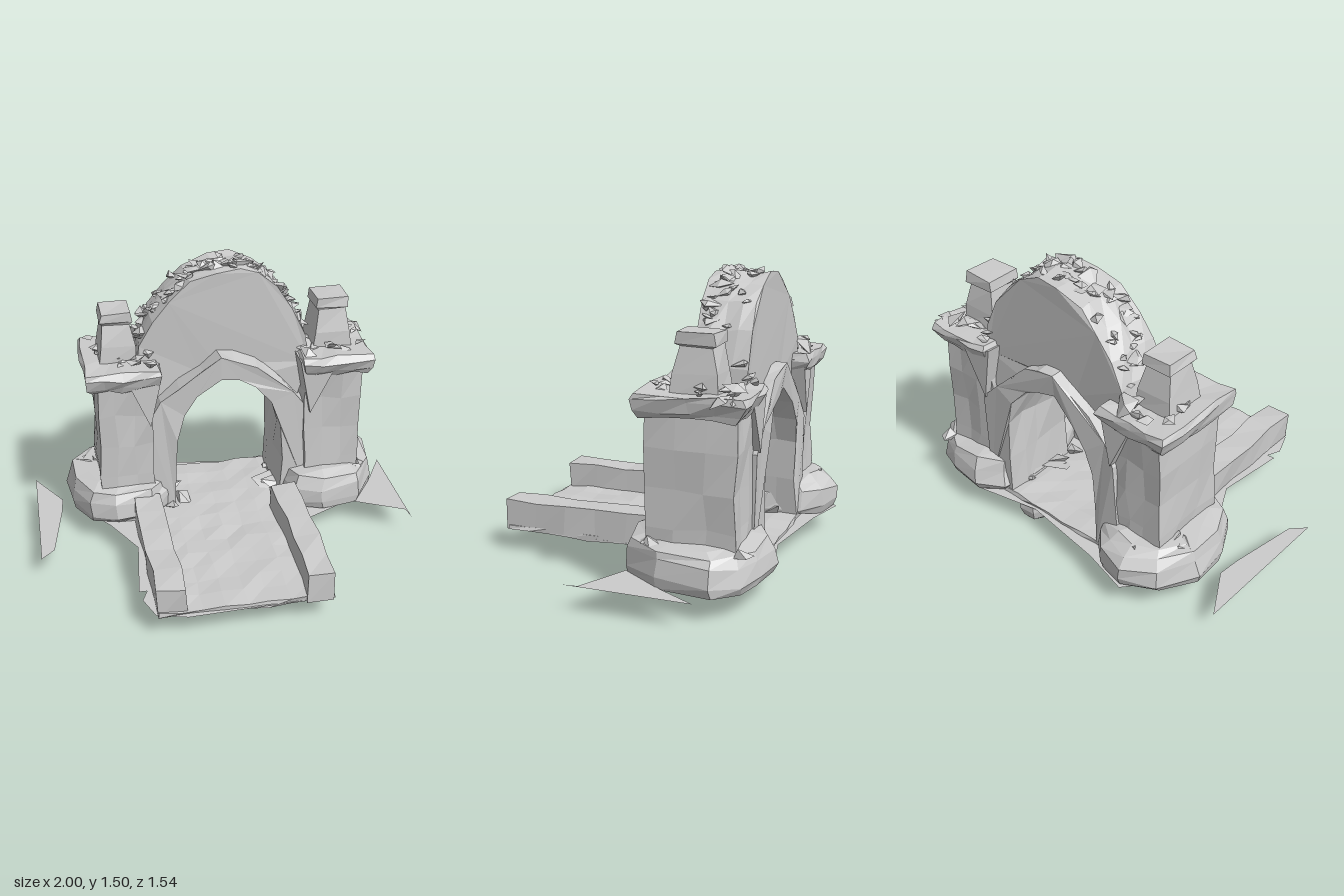
import * as THREE from 'three';

const stone = new THREE.MeshStandardMaterial({ color: 0xcccccc, flatShading: true, side: THREE.DoubleSide });

// Seeded random numbers for scattered rubble
let seed = 7;
const rand = () => (seed = (seed * 16807) % 2147483647) / 2147483647;
const range = (a, b) => a + (b - a) * rand();

// Hewn look: shift each vertex by a hash of its position, so shared corners stay together
function roughen(geo, amount) {
  const p = geo.attributes.position;
  const hash = (x, y, z, k) => {
    const s = Math.sin(Math.round(x * 1000) * 12.9898 + Math.round(y * 1000) * 78.233 + Math.round(z * 1000) * 37.719 + k) * 43758.5453;
    return s - Math.floor(s) - 0.5;
  };
  for (let i = 0; i < p.count; i++) {
    const x = p.getX(i), y = p.getY(i), z = p.getZ(i);
    p.setXYZ(i, x + hash(x, y, z, 1) * amount, y + hash(x, y, z, 2) * amount, z + hash(x, y, z, 3) * amount);
  }
  geo.computeVertexNormals();
  return geo;
}

function add(parent, name, geo) {
  const mesh = new THREE.Mesh(geo, stone);
  mesh.name = name;
  parent.add(mesh);
  return mesh;
}

// Rectangle outline in plan, n segments per side
function rect(x0, x1, z0, z1, n = 3) {
  const corners = [[x0, z0], [x0, z1], [x1, z1], [x1, z0]], out = [];
  corners.forEach(([x, z], i) => {
    const [u, v] = corners[(i + 1) % 4];
    for (let k = 0; k < n; k++) out.push([x + (u - x) * k / n, z + (v - z) * k / n]);
  });
  return out;
}

// Solid from one plan outline repeated at [height, scale] levels, closed at both ends
function stack(outline, levels, rough) {
  let pts = outline.map(([x, z]) => new THREE.Vector2(x, z));
  if (THREE.ShapeUtils.area(pts) > 0) pts.reverse();
  const box = new THREE.Box2().setFromPoints(pts), c = box.getCenter(new THREE.Vector2());
  const n = pts.length, pos = [], idx = [];
  for (const [y, s] of levels) for (const p of pts) pos.push(c.x + (p.x - c.x) * s, y, c.y + (p.y - c.y) * s);
  const last = levels.length - 1, bottom = n * levels.length, top = bottom + 1;
  pos.push(c.x, levels[0][0], c.y, c.x, levels[last][0], c.y);
  for (let i = 0; i < n; i++) {
    const j = (i + 1) % n;
    for (let k = 0; k < last; k++) {
      const a = k * n + i, b = k * n + j;
      idx.push(a, b, b + n, a, b + n, a + n);
    }
    idx.push(bottom, j, i, top, last * n + i, last * n + j);
  }
  const geo = new THREE.BufferGeometry();
  geo.setAttribute('position', new THREE.Float32BufferAttribute(pos, 3));
  geo.setIndex(idx);
  return roughen(geo, rough);
}

// Upright outline extruded from z0 to z1
function upright(points, z0, z1, rough, steps = 3) {
  const shape = new THREE.Shape(points.map(([x, y]) => new THREE.Vector2(x, y)));
  const geo = new THREE.ExtrudeGeometry(shape, { depth: z1 - z0, steps, bevelEnabled: false });
  return roughen(geo.translate(0, 0, z0), rough);
}

// Thin flat sheet lying at height y
function sheet(points, y) {
  const geo = new THREE.ShapeGeometry(new THREE.Shape(points.map(([x, z]) => new THREE.Vector2(x, -z))));
  return geo.rotateX(-Math.PI / 2).translate(0, y, 0);
}

function slab(x0, x1, y0, y1, z0, z1, nx, nz, rough) {
  const geo = new THREE.BoxGeometry(x1 - x0, y1 - y0, z1 - z0, nx, 1, nz);
  return roughen(geo.translate((x0 + x1) / 2, (y0 + y1) / 2, (z0 + z1) / 2), rough);
}

function rubble(parent, x, y, z, size) {
  const geo = roughen(new THREE.OctahedronGeometry(size), size * 0.9);
  const mesh = add(parent, 'rubbleStone', geo);
  mesh.position.set(x, y, z);
  mesh.scale.set(range(0.8, 1.5), range(0.35, 0.7), range(0.8, 1.5));
  mesh.rotation.set(range(-0.5, 0.5), range(0, 6), range(-0.5, 0.5));
}

export function createModel() {
  const model = new THREE.Group();
  model.name = 'stoneGateway';

  // Archway: inner opening curve and outer edge of the arch band
  const opening = [[-0.26, 0.14], [-0.25, 0.35], [-0.24, 0.55], [-0.2, 0.69], [-0.12, 0.8], [0, 0.89],
    [0.1, 0.88], [0.2, 0.83], [0.29, 0.73], [0.34, 0.58], [0.34, 0.36], [0.33, 0.14]];
  const bandOuter = [[0.5, 0.14], [0.49, 0.67], [0.4, 0.78], [0.3, 0.88], [0.2, 0.96], [0.08, 1.01],
    [0, 1.02], [-0.1, 0.95], [-0.22, 0.87], [-0.31, 0.78], [-0.38, 0.67], [-0.4, 0.14]];
  add(model, 'archBand', upright([...opening, ...bandOuter], -0.61, -0.185, 0.022, 4));

  // Domed wall over the arch
  const dome = [[0.5, 0.92], [0.48, 1.08], [0.41, 1.23], [0.32, 1.35], [0.23, 1.43], [0.12, 1.47], [0, 1.46],
    [-0.14, 1.41], [-0.25, 1.32], [-0.34, 1.21], [-0.4, 1.08], [-0.42, 0.92]];
  const domeFoot = [[-0.35, 0.75], [-0.22, 0.8], [-0.1, 0.9], [0, 0.96], [0.1, 0.95], [0.24, 0.86], [0.44, 0.72]];
  add(model, 'domedWall', upright([...domeFoot, ...dome], -0.555, -0.28, 0.022, 4));

  // Loose stones along the crest of the dome
  const crest = new THREE.CatmullRomCurve3(dome.slice(1, -1).map(([x, y]) => new THREE.Vector3(x, y, 0)));
  const crestStones = new THREE.Group();
  crestStones.name = 'crestStones';
  for (let i = 0; i < 60; i++) {
    const p = crest.getPoint((i + 0.5) / 60);
    rubble(crestStones, p.x, p.y, range(-0.52, -0.31), range(0.025, 0.045));
  }
  model.add(crestStones);

  // Two gate piers, each with boulder base, shaft, cap, wedge and finial
  const piers = [
    { name: 'rightPier', shaft: [-0.65, -0.36], cap: [-0.71, -0.31], finial: [-0.615, -0.425],
      wedge: [[-0.48, 0.92], [-0.375, 0.68], [-0.31, 0.97]],
      base: [[-0.82, -0.5], [-0.71, -0.68], [-0.55, -0.77], [-0.4, -0.73], [-0.3, -0.64], [-0.24, -0.45],
        [-0.24, -0.25], [-0.38, -0.08], [-0.58, -0.07], [-0.72, -0.13], [-0.8, -0.3]] },
    { name: 'leftPier', shaft: [0.46, 0.77], cap: [0.43, 0.82], finial: [0.525, 0.725],
      wedge: [[0.42, 0.98], [0.48, 0.68], [0.6, 0.92]],
      base: [[0.92, -0.53], [0.82, -0.64], [0.7, -0.7], [0.5, -0.72], [0.37, -0.64], [0.33, -0.45],
        [0.34, -0.22], [0.4, -0.07], [0.54, -0.01], [0.75, -0.06], [0.88, -0.25]] },
  ];
  for (const { name, shaft, cap, finial, wedge, base } of piers) {
    const pier = new THREE.Group();
    pier.name = name;
    add(pier, 'boulderBase', stack(base, [[0.13, 0.95], [0.17, 1], [0.25, 0.97], [0.3, 0.89], [0.32, 0.7]], 0.025));
    add(pier, 'shaft', stack(rect(...shaft, -0.6, -0.16, 3), [[0.2, 1], [0.38, 0.97], [0.56, 0.97], [0.74, 0.98], [0.92, 1]], 0.022));
    add(pier, 'cap', stack(rect(...cap, -0.65, -0.11, 4), [[0.89, 0.84], [0.92, 0.93], [0.97, 1], [1, 0.95]], 0.02));
    add(pier, 'capWedge', upright(wedge, -0.63, -0.135, 0.015));
    add(pier, 'finial', stack(rect(...finial, -0.495, -0.275, 1), [[0.98, 1.05], [1.08, 0.94], [1.2, 0.72], [1.21, 0.86], [1.26, 0.83]], 0.012));
    for (let i = 0; i < 22; i++) {
      rubble(pier, range(cap[0] + 0.05, cap[1]), range(0.99, 1.04), range(-0.6, -0.16), range(0.025, 0.05));
    }
    for (let i = 0; i < 8; i++) {
      rubble(pier, range(base[0][0] * 0.95, shaft[0] < 0 ? -0.4 : 0.4), 0.3, range(-0.65, -0.14), range(0.03, 0.06));
    }
    model.add(pier);
  }

  // Paved path with a low kerb on each side
  add(model, 'path', slab(-0.47, 0.4, 0.115, 0.145, -0.62, 0.745, 8, 12, 0.016));
  add(model, 'rightKerb', slab(-0.48, -0.335, 0.12, 0.27, -0.13, 0.74, 1, 5, 0.02));
  add(model, 'leftKerb', slab(0.265, 0.4, 0.12, 0.275, -0.08, 0.75, 1, 5, 0.02));
  for (let i = 0; i < 10; i++) {
    rubble(model, i % 2 ? range(-0.3, -0.18) : range(0.26, 0.34), 0.16, range(-0.55, -0.1), range(0.03, 0.07));
  }

  // Ragged ground sheets
  add(model, 'groundSheet', sheet([[-0.55, -0.77], [-0.3, -0.7], [0.15, -0.63], [0.5, -0.7], [0.85, -0.55], [0.86, -0.25],
    [0.7, -0.08], [0.4, 0.07], [0.4, 0.74], [-0.33, 0.77], [-0.48, 0.73], [-0.53, 0.6], [-0.5, 0.53], [-0.54, 0.53],
    [-0.5, 0.15], [-0.62, -0.08], [-0.78, -0.3], [-0.78, -0.5]], 0.125));
  add(model, 'rightGroundShard', sheet([[-1, -0.62], [-0.86, -0.38], [-0.87, -0.26], [-0.93, 0.1], [-1, 0.17]], 0.13));
  add(model, 'leftGroundShard', sheet([[0.68, -0.09], [0.99, 0.07], [1, 0.15], [1, -0.48], [0.9, -0.3], [0.8, -0.15]], 0.13));

  // Rock hanging beneath the ground
  add(model, 'hangingRock', stack([[0.13, -0.56], [0.17, -0.48], [0.26, -0.47], [0.3, -0.55], [0.26, -0.64], [0.17, -0.63]],
    [[0.005, 0.45], [0.03, 0.8], [0.08, 1], [0.12, 0.95]], 0.01));

  return model;
}
